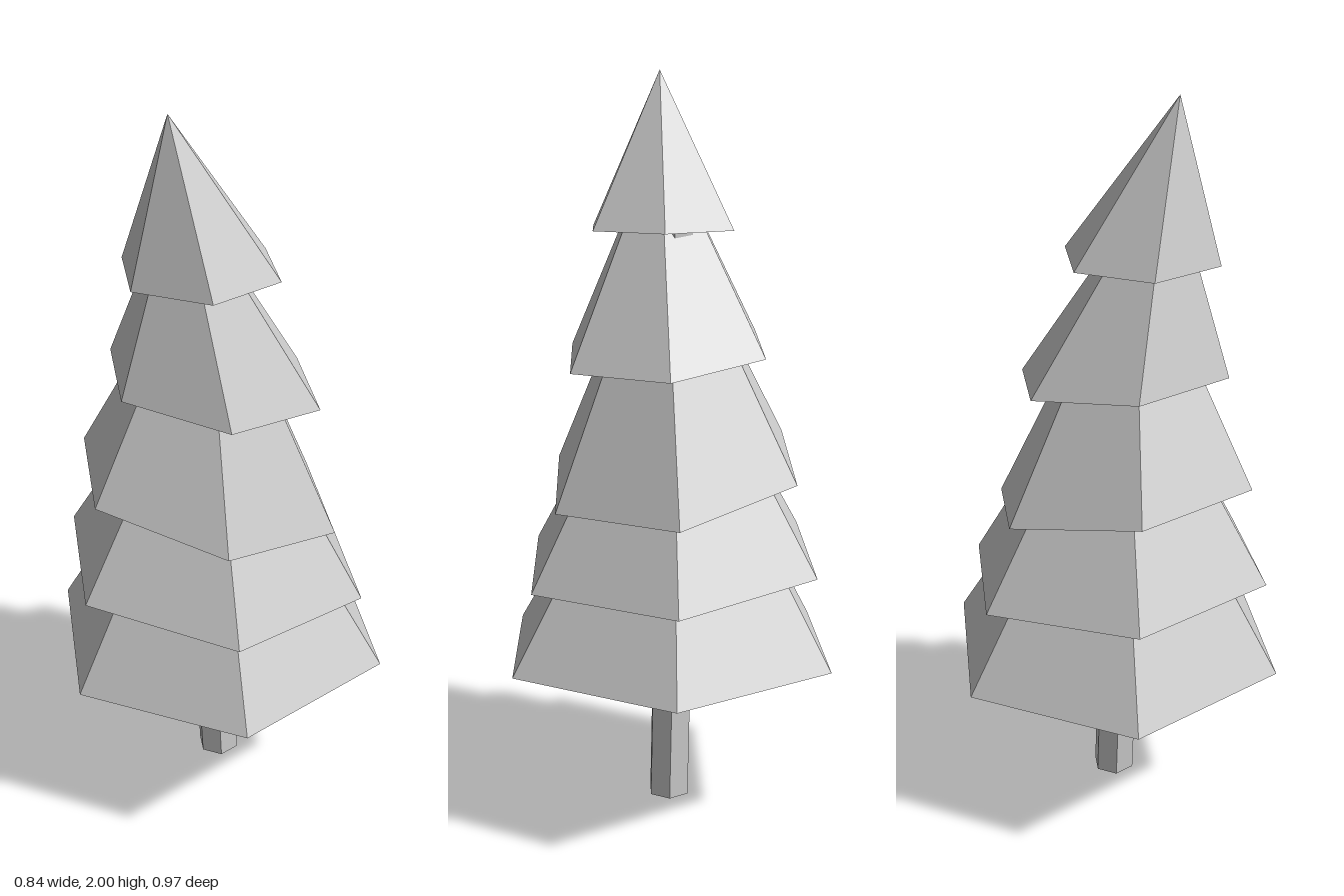
import * as THREE from 'three';

const material = new THREE.MeshStandardMaterial({ color: 0xcccccc, flatShading: true });

// Six-sided ring with corners on +z and -z; tilt is the rise in y per unit of x
function hexRing(x, y, z, radius, tilt = 0) {
  const ring = [];
  for (let i = 0; i < 6; i++) {
    const a = (i / 6) * Math.PI * 2;
    const dx = Math.sin(a) * radius;
    ring.push([x + dx, y + tilt * dx, z + Math.cos(a) * radius]);
  }
  return ring;
}

// Closed hexagonal solid: bottom point, rings from low to high, top point
function hexSolid(name, bottom, rings, top) {
  const pos = [];
  const tri = (a, b, c) => pos.push(...a, ...b, ...c);
  const last = rings[rings.length - 1];
  for (let i = 0; i < 6; i++) {
    const j = (i + 1) % 6;
    tri(bottom, rings[0][j], rings[0][i]);
    for (let k = 0; k < rings.length - 1; k++) {
      const lo = rings[k], hi = rings[k + 1];
      tri(lo[i], lo[j], hi[j]);
      tri(lo[i], hi[j], hi[i]);
    }
    tri(last[i], last[j], top);
  }
  const geometry = new THREE.BufferGeometry();
  geometry.setAttribute('position', new THREE.Float32BufferAttribute(pos, 3));
  geometry.computeVertexNormals();
  const mesh = new THREE.Mesh(geometry, material);
  mesh.name = name;
  return mesh;
}

export function createModel() {
  const tree = new THREE.Group();
  tree.name = 'pineTree';

  // Slightly leaning trunk running up inside the branches
  tree.add(hexSolid('trunk', [0, 0, 0], [
    hexRing(0, 0, 0, 0.06),
    hexRing(-0.022, 0.5, 0, 0.06),
    hexRing(-0.03, 1.64, 0, 0.055),
  ], [-0.03, 1.64, 0]));

  // Branch tiers: rim centre, radius, tilt and the leaning tip
  const tiers = [
    { rim: [0, 0.445, 0], radius: 0.486, tilt: 0, tip: [-0.025, 1.25, 0] },
    { rim: [-0.014, 0.693, 0], radius: 0.434, tilt: -0.084, tip: [-0.028, 1.42, 0.01] },
    { rim: [-0.032, 0.935, 0.003], radius: 0.367, tilt: -0.22, tip: [-0.04, 1.67, 0.035] },
    { rim: [-0.016, 1.266, 0.017], radius: 0.293, tilt: -0.134, tip: [-0.11, 1.84, 0.085] },
    { rim: [-0.053, 1.59, 0.048], radius: 0.212, tilt: 0, tip: [-0.133, 2, 0.097] },
  ];
  tiers.forEach(({ rim, radius, tilt, tip }, i) => {
    // Hollowed underside rises toward the trunk
    const hollow = [rim[0], rim[1] + radius * 0.22, rim[2]];
    tree.add(hexSolid(`branchTier${i + 1}`, hollow, [hexRing(...rim, radius, tilt)], tip));
  });

  return tree;
}
